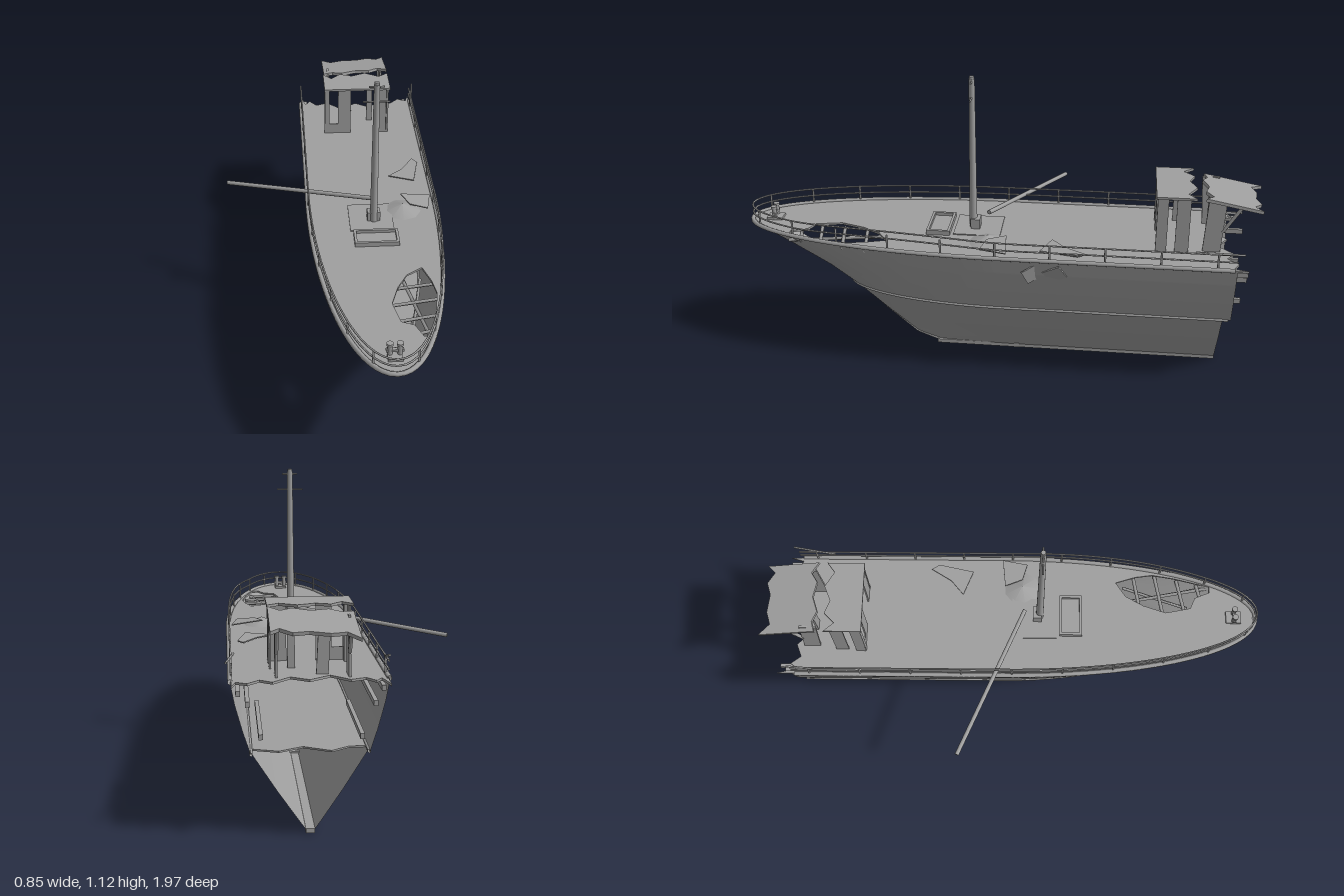
import * as THREE from 'three';

const CX = 0.15;          // hull centreline
const DECK = 0.52;
const STERN = -0.86;

// Hull levels: height, half width, stem z, length of the curved bow
const LOWER = [[0.01, 0.012, 0.25, 0.3], [0.045, 0.037, 0.34, 0.38], [0.15, 0.108, 0.46, 0.5], [0.28, 0.19, 0.595, 0.62]];
const UPPER = [[0.28, 0.19, 0.595, 0.62], [0.36, 0.216, 0.7, 0.73], [0.45, 0.24, 0.85, 0.88], [0.52, 0.253, 0.98, 1.0]];
const TOP = UPPER[3], KNUCKLE = LOWER[3];

// Holes in the right bow plating, given in x and y
const BREACHES = [
  [[-0.0, 0.455], [0.1, 0.455], [0.11, 0.4], [0.085, 0.33], [0, 0.34], [-0.02, 0.37]],
  [[0.01, 0.23], [0.07, 0.225], [0.1, 0.19], [0.127, 0.13], [0.11, 0.125], [0.05, 0.18]],
];

const inside = (poly, x, y) => {
  let hit = false;
  for (let i = 0, j = poly.length - 1; i < poly.length; j = i++) {
    const [ax, ay] = poly[i], [bx, by] = poly[j];
    if ((ay > y) !== (by > y) && x < ((bx - ax) * (y - ay)) / (by - ay) + ax) hit = !hit;
  }
  return hit;
};

function levelAt(levels, y) {
  let k = 0;
  while (k < levels.length - 2 && y > levels[k + 1][0]) k++;
  const a = levels[k], b = levels[k + 1], f = (y - a[0]) / (b[0] - a[0]);
  return a.map((v, i) => v + (b[i] - v) * f);
}

const halfWidth = ([, hw, stem, len], z) => {
  const u = THREE.MathUtils.clamp((stem - z) / len, 0, 1);
  return hw * Math.sqrt(1 - (1 - u) ** 2);
};

// Point on a level; s runs from stem (0) to stern (1)
function hullPoint(level, s, side, stern = STERN) {
  const z = level[2] - (level[2] - stern) * s ** 2;
  return new THREE.Vector3(CX + side * halfWidth(level, z), level[0], z);
}

function hullSide(levels, side, stern) {
  const n = 90, m = 28, pos = [], index = [];
  const y0 = levels[0][0], y1 = levels[levels.length - 1][0];
  for (let j = 0; j <= m; j++) {
    const level = levelAt(levels, y0 + ((y1 - y0) * j) / m);
    for (let i = 0; i <= n; i++) pos.push(...hullPoint(level, i / n, side, stern).toArray());
  }
  for (let j = 0; j < m; j++) for (let i = 0; i < n; i++) {
    const a = j * (n + 1) + i, b = a + 1, c = a + n + 1, d = c + 1;
    const mid = k => (pos[a * 3 + k] + pos[d * 3 + k]) / 2;
    if (side < 0 && mid(2) > 0.25 && BREACHES.some(p => inside(p, mid(0), mid(1)))) continue;
    if (side > 0) index.push(a, b, c, b, d, c);
    else index.push(a, c, b, b, c, d);
  }
  const g = new THREE.BufferGeometry();
  g.setAttribute('position', new THREE.Float32BufferAttribute(pos, 3));
  g.setIndex(index);
  g.computeVertexNormals();
  return g;
}

// Outline of a level all the way round the bow, stern to stern
function outline(level, inset = 0, stern = STERN, n = 40) {
  const l = [level[0], level[1] - inset, level[2] - inset, level[3]], pts = [];
  for (let i = -n; i <= n; i++) pts.push(hullPoint(l, Math.abs(i) / n, i < 0 ? -1 : 1, stern));
  return pts;
}

export function createModel() {
  const ship = new THREE.Group();
  ship.name = 'wreckedShip';
  const steel = new THREE.MeshStandardMaterial({ color: 0xa0a0a0, side: THREE.DoubleSide });
  steel.name = 'grey steel';

  const add = (name, geo, parent = ship) => {
    const m = new THREE.Mesh(geo, steel);
    m.name = name;
    parent.add(m);
    return m;
  };
  const group = name => {
    const g = new THREE.Group();
    g.name = name;
    ship.add(g);
    return g;
  };
  const box = (name, w, h, d, x, y, z, parent) => {
    const m = add(name, new THREE.BoxGeometry(w, h, d), parent);
    m.position.set(x, y, z);
    return m;
  };
  const V = (x, y, z) => new THREE.Vector3(x, y, z);
  // Straight round bar between two points
  const bar = (name, a, b, r, parent, sides = 8, r2 = r) => {
    const m = add(name, new THREE.CylinderGeometry(r2, r, a.distanceTo(b), sides), parent);
    m.position.copy(a).lerp(b, 0.5);
    m.quaternion.setFromUnitVectors(V(0, 1, 0), b.clone().sub(a).normalize());
    return m;
  };
  const tube = (name, pts, r, parent, seg = 120) =>
    add(name, new THREE.TubeGeometry(new THREE.CatmullRomCurve3(pts), seg, r, 6), parent);
  // Flat sheet from [x, z] corners, thick downwards from y
  const sheet = (name, pts, y, thick, holes = [], parent = ship) => {
    const toV = p => p.map(([x, z]) => new THREE.Vector2(x, z));
    const s = new THREE.Shape(toV(pts));
    holes.forEach(h => s.holes.push(new THREE.Path(toV(h))));
    const m = add(name, new THREE.ExtrudeGeometry(s, { depth: thick, bevelEnabled: false }).rotateX(Math.PI / 2), parent);
    m.position.y = y;
    return m;
  };

  // Hull plating, rub rails and keel
  const hull = group('hull');
  for (const side of [-1, 1]) {
    add('upperPlating', hullSide(UPPER, side, -0.87), hull);
    add('lowerPlating', hullSide(LOWER, side, -0.84), hull);
  }
  tube('gunwale', outline(TOP), 0.009, hull, 160);
  tube('knuckleRail', outline(KNUCKLE), 0.006, hull, 160);
  const stem = [...LOWER, ...UPPER.slice(1)].map(l => V(CX, l[0], l[2]));
  stem.slice(1).forEach((p, i) => bar('stemBar', stem[i], p, 0.008, hull, 6));
  box('keel', 0.03, 0.016, 1.1, CX, 0.008, -0.29, hull);
  box('keelStub', 0.04, 0.02, 0.02, CX, 0.012, -0.06, hull);

  // Main deck with ragged stern and a broken bow opening
  const bowHole = [[0.17, 0.62], [0.2, 0.53], [0.24, 0.46], [0.3, 0.42], [0.325, 0.5], [0.335, 0.57], [0.32, 0.66], [0.285, 0.8], [0.26, 0.8], [0.235, 0.74], [0.19, 0.72]];
  const ragged = [[0.4, -0.91], [0.385, -0.86], [0.35, -0.88], [0.31, -0.84], [0.27, -0.87], [0.21, -0.81], [0.15, -0.85], [0.08, -0.8], [0.02, -0.86], [-0.03, -0.84], [-0.06, -0.88], [-0.08, -0.85], [-0.1, -0.93]];
  const deckEdge = outline(TOP, 0.003, -0.84).map(p => [p.x, p.z]);
  sheet('mainDeck', [...deckEdge, ...ragged], DECK, 0.008, [bowHole]);
  const lowerEdge = outline(KNUCKLE, 0.004, -0.8).map(p => [p.x, p.z]);
  sheet('lowerDeck', [...lowerEdge, [0.25, -0.83], [0.17, -0.79], [0.08, -0.84], [0.02, -0.8]], 0.28, 0.006);

  // Beams showing under the opening and out of the broken stern
  const beams = group('beams');
  for (const [z, x1] of [[0.49, 0.36], [0.58, 0.345], [0.67, 0.32], [0.75, 0.3]])
    bar('deckBeam', V(0.17, 0.5, z + 0.03), V(x1, 0.5, z), 0.007, beams, 4);
  bar('deckGirder', V(0.22, 0.495, 0.43), V(0.29, 0.495, 0.8), 0.008, beams, 4);
  bar('bentBeam', V(0.29, 0.49, 0.45), V(0.23, 0.42, 0.72), 0.006, beams, 4);
  for (const [x, y, z] of [[-0.05, 0.46, -0.93], [0.35, 0.46, -0.91], [-0.01, 0.35, -0.92], [0.31, 0.35, -0.9], [-0.08, 0.5, -0.9], [0.38, 0.495, -0.91]])
    box('sternStringer', 0.014, 0.018, 0.4, x, y, z + 0.2, beams);
  for (const z of [-0.7, -0.4, -0.1, 0.2])
    box('crossBeam', 0.46, 0.014, 0.014, CX, 0.505, z, beams);

  // Railings: posts and two rails each side, the left one buckled
  const rails = group('railings');
  const railPath = outline(TOP, 0.004, -0.87, 24);
  const lift = p => (p.x > CX && p.z > 0 && p.z < 0.75 ? 0.014 * Math.sin((p.z / 0.75) * Math.PI) : 0);
  for (const h of [0.032, 0.06])
    tube('rail', railPath.map(p => V(p.x, DECK + h + lift(p), p.z)), 0.0035, rails, 140);
  for (const z of [0.93, 0.78, 0.6, 0.4, 0.2, 0, -0.2, -0.4, -0.6, -0.8]) for (const side of [-1, 1]) {
    const x = CX + side * (halfWidth(TOP, z) - 0.004);
    bar('railPost', V(x, DECK, z), V(x, DECK + 0.06, z), 0.004, rails, 6);
  }
  bar('brokenRail', V(0.39, 0.58, -0.72), V(0.415, 0.59, -0.89), 0.004, rails, 6);
  bar('brokenRail', V(-0.1, 0.575, -0.78), V(-0.1, 0.6, -0.88), 0.004, rails, 6);

  // Mast, crosstrees and fallen boom
  const mast = group('mast');
  bar('mastPole', V(CX, DECK, 0.11), V(CX, 1.115, 0.11), 0.015, mast, 16, 0.011);
  bar('mastCap', V(CX, 1.112, 0.11), V(CX, 1.125, 0.11), 0.009, mast, 12);
  for (const [y, w] of [[1.045, 0.05], [1.105, 0.029]])
    bar('crosstree', V(CX - w, y, 0.11), V(CX + w, y, 0.11), 0.0035, mast, 6);
  box('mastStep', 0.05, 0.045, 0.035, CX, DECK + 0.02, 0.1, mast);
  bar('boom', V(-0.425, 0.513, -0.21), V(CX, 0.585, 0.05), 0.0085, mast, 10);

  // Cargo hatch frame and deck plates
  const hatch = group('hatch');
  const rect = (x0, x1, z0, z1) => [[x0, z0], [x1, z0], [x1, z1], [x0, z1]];
  sheet('hatchFrame', rect(0.065, 0.235, 0.19, 0.28), DECK + 0.018, 0.018, [rect(0.075, 0.225, 0.2, 0.27)], hatch);
  sheet('hatchCover', rect(0.075, 0.225, 0.2, 0.27), DECK + 0.006, 0.006, [], hatch);
  sheet('mastPlate', rect(0.055, 0.225, 0.0, 0.178), DECK + 0.004, 0.004, [], hatch);
  const debris = group('debris');
  sheet('loosePlate', [[0.24, -0.2], [0.3, -0.25], [0.35, -0.33], [0.37, -0.3], [0.34, -0.16]], DECK + 0.006, 0.004, [], debris).rotation.z = 0.01;
  const crater = add('tornDeck', new THREE.ConeGeometry(0.075, 0.03, 9, 1, true), debris);
  crater.position.set(0.27, DECK + 0.014, 0.04);
  const flap = sheet('peeledPlate', [[0, 0], [0.12, -0.01], [0.1, 0.09], [0.03, 0.07]], 0, 0.004, [], debris);
  flap.position.set(0.27, DECK + 0.03, -0.03);
  flap.rotation.z = -0.12;
  // Small torn plates on the left topside
  for (const [z, r] of [[-0.14, 0.25], [-0.22, -0.2]]) {
    const dent = box('dentedPlate', 0.006, 0.06, 0.07, 0.392, 0.462, z, debris);
    dent.rotation.set(0.5, r, -0.3);
  }

  // Mooring bitts at the bow
  const bitts = group('bowBitts');
  for (const s of [-1, 1]) {
    bar('bitt', V(CX + s * 0.017, DECK, 0.89), V(CX + s * 0.017, 0.568, 0.89), 0.009, bitts, 10);
    bar('bittCap', V(CX + s * 0.017, 0.566, 0.89), V(CX + s * 0.017, 0.575, 0.89), 0.012, bitts, 10);
  }
  box('bittCrossbar', 0.06, 0.01, 0.012, CX, 0.545, 0.89, bitts);
  box('bittBase', 0.05, 0.01, 0.06, CX, DECK + 0.004, 0.89, bitts);

  // Ruined deckhouse: two torn roof sheets on leftover wall panels
  const house = group('deckhouse');
  sheet('frontRoof', [[-0.005, -0.575], [0.28, -0.575], [0.28, -0.72], [0.24, -0.69], [0.18, -0.725], [0.12, -0.7], [0.07, -0.72], [0.03, -0.68], [-0.005, -0.72]], 0.738, 0.009, [], house);
  const rear = sheet('rearRoof', [[-0.14, 0.01], [-0.1, 0], [-0.06, 0.02], [0, 0], [0.06, 0.015], [0.1, -0.01], [0.14, 0.02], [0.14, -0.19], [0.11, -0.16], [0.07, -0.19], [0.02, -0.175], [-0.05, -0.185], [-0.1, -0.17], [-0.14, -0.215]], 0, 0.012, [], house);
  rear.position.set(0.14, 0.728, -0.77);
  rear.rotation.set(-0.19, 0, 0.06);
  const wallH = 0.212, wallY = DECK + wallH / 2;
  for (const [x, z, w, d] of [
    [0.082, -0.585, 0.055, 0.006], [0.237, -0.585, 0.055, 0.006], [0.006, -0.6, 0.02, 0.04], [0.27, -0.6, 0.008, 0.04],
    [0.006, -0.675, 0.006, 0.05], [0.27, -0.675, 0.006, 0.05], [0.2, -0.69, 0.025, 0.006],
  ]) box('wallPanel', w, wallH, d, x, wallY, z, house);
  box('sillPanel', 0.07, 0.045, 0.006, 0.03, DECK + 0.022, -0.585, house);
  for (const [x, tilt] of [[0.02, 0.06], [0.255, -0.06]]) {
    const p = box('rearWallPanel', 0.008, 0.2, 0.065, x, DECK + 0.098, -0.79, house);
    p.rotation.x = tilt;
    bar('roofStrut', V(x, DECK + 0.08, -0.82), V(x, 0.695, -0.88), 0.007, house, 6);
  }
  box('rearPost', 0.04, 0.19, 0.008, 0.1, DECK + 0.095, -0.78, house).rotation.z = 0.05;

  return ship;
}
